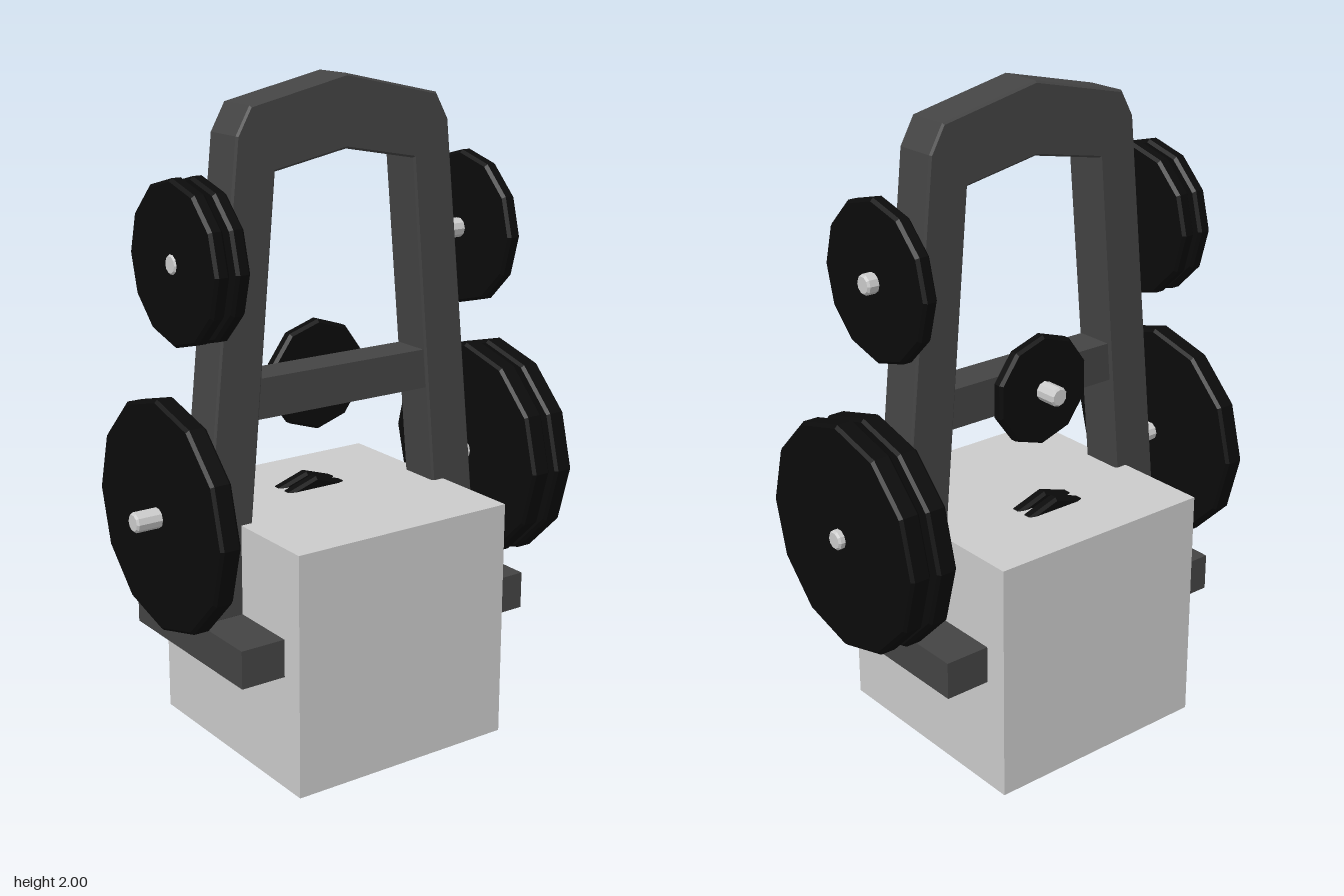
import * as THREE from 'three';

const paint = (color) => new THREE.MeshStandardMaterial({ color, flatShading: true });
const grey = paint(0xcccccc);
const steel = paint(0x444444);
const rubber = paint(0x0b0b0b);

export function createModel() {
  const model = new THREE.Group();

  const add = (name, geometry, material, x = 0, y = 0, z = 0) => {
    const mesh = new THREE.Mesh(geometry, material);
    mesh.name = name;
    mesh.position.set(x, y, z);
    model.add(mesh);
    return mesh;
  };

  // Chamfered disc or rod lying along the x or z axis, from a to b
  const disc = (name, material, axis, radius, a, b, cx, cy, sides, bevel) => {
    const h = (b - a) / 2, mid = (a + b) / 2;
    const profile = [
      [0, -h], [radius - bevel, -h], [radius, bevel - h],
      [radius, h - bevel], [radius - bevel, h], [0, h],
    ].map(([r, y]) => new THREE.Vector2(r, y));
    const geometry = new THREE.LatheGeometry(profile, sides, Math.PI / 2);
    if (axis === 'z') {
      geometry.rotateX(Math.PI / 2);
      add(name, geometry, material, cx, cy, mid);
    } else {
      geometry.rotateZ(Math.PI / 2);
      add(name, geometry, material, mid, cy, cx);
    }
  };

  // Base block
  add('baseBlock', new THREE.BoxGeometry(0.74, 0.74, 0.74), grey, 0, 0.37, 0);

  // A-shaped frame, drawn in the z-y plane and extruded along x
  const half = [[0.51, 0.46], [0.365, 1.85], [0.32, 1.93]];
  const inner = [[0.24, 1.745], [0.355, 0.46]];
  const mirror = (pts) => pts.map(([z, y]) => [-z, y]).reverse();
  const outline = [
    ...half, [0, 2], ...mirror(half),
    ...mirror(inner), [0, 1.79], ...inner,
  ].map(([z, y]) => new THREE.Vector2(z, y));
  const bevel = 0.006;
  const frame = new THREE.ExtrudeGeometry(new THREE.Shape(outline), {
    depth: 0.14 - 2 * bevel, bevelEnabled: true, bevelSegments: 1,
    bevelThickness: bevel, bevelSize: bevel, bevelOffset: -bevel,
  });
  frame.translate(0, 0, -(0.14 - 2 * bevel) / 2);
  frame.rotateY(Math.PI / 2);
  add('frame', frame, steel, 0.005, 0, 0);

  // Crossbar, slightly narrower than the legs
  add('crossbar', new THREE.BoxGeometry(0.12, 0.12, 0.62), steel, 0.005, 1.102, 0);

  // Feet and the pegs at each end
  for (const [end, s] of [['front', 1], ['back', -1]]) {
    add(end + 'Foot', new THREE.BoxGeometry(0.59, 0.115, 0.15), steel, 0, 0.4075, s * 0.437);
    const rod = (name, from, to, x, y) =>
      disc(name, grey, 'z', 0.03, Math.min(s * from, s * to), Math.max(s * from, s * to), x, y, 10, 0.006);
    rod(end + 'LowerPeg', 0.4, 0.68, 0, 0.79);
    rod(end + 'UpperPeg', 0.34, 0.545, 0.01, 1.51);
  }

  // Weight plates on the end pegs: name, radius, z from, z to, x, y
  const plates = [
    ['frontLargePlate', 0.345, 0.535, 0.6, 0, 0.79],
    ['backLargePlateInner', 0.345, -0.58, -0.515, -0.01, 0.79],
    ['backLargePlateOuter', 0.345, -0.66, -0.595, 0, 0.79],
    ['frontMediumPlateInner', 0.235, 0.43, 0.475, 0.01, 1.51],
    ['frontMediumPlateOuter', 0.235, 0.495, 0.54, 0.01, 1.51],
    ['backMediumPlate', 0.235, -0.51, -0.465, 0.01, 1.51],
  ];
  for (const [name, r, a, b, x, y] of plates) disc(name, rubber, 'z', r, a, b, x, y, 12, 0.009);

  // Side pegs and small plates on the right of the frame
  disc('sideUpperPeg', grey, 'x', 0.03, -0.175, -0.03, 0, 1.1, 10, 0.006);
  disc('sideLowerPeg', grey, 'x', 0.03, -0.175, -0.03, 0, 0.605, 10, 0.006);
  disc('sideUpperPlate', rubber, 'x', 0.17, -0.105, -0.065, 0, 1.1, 10, 0.009);
  disc('sideLowerPlateInner', rubber, 'x', 0.17, -0.115, -0.075, 0, 0.605, 10, 0.009);
  disc('sideLowerPlateOuter', rubber, 'x', 0.17, -0.167, -0.127, 0, 0.605, 10, 0.009);

  return model;
}
